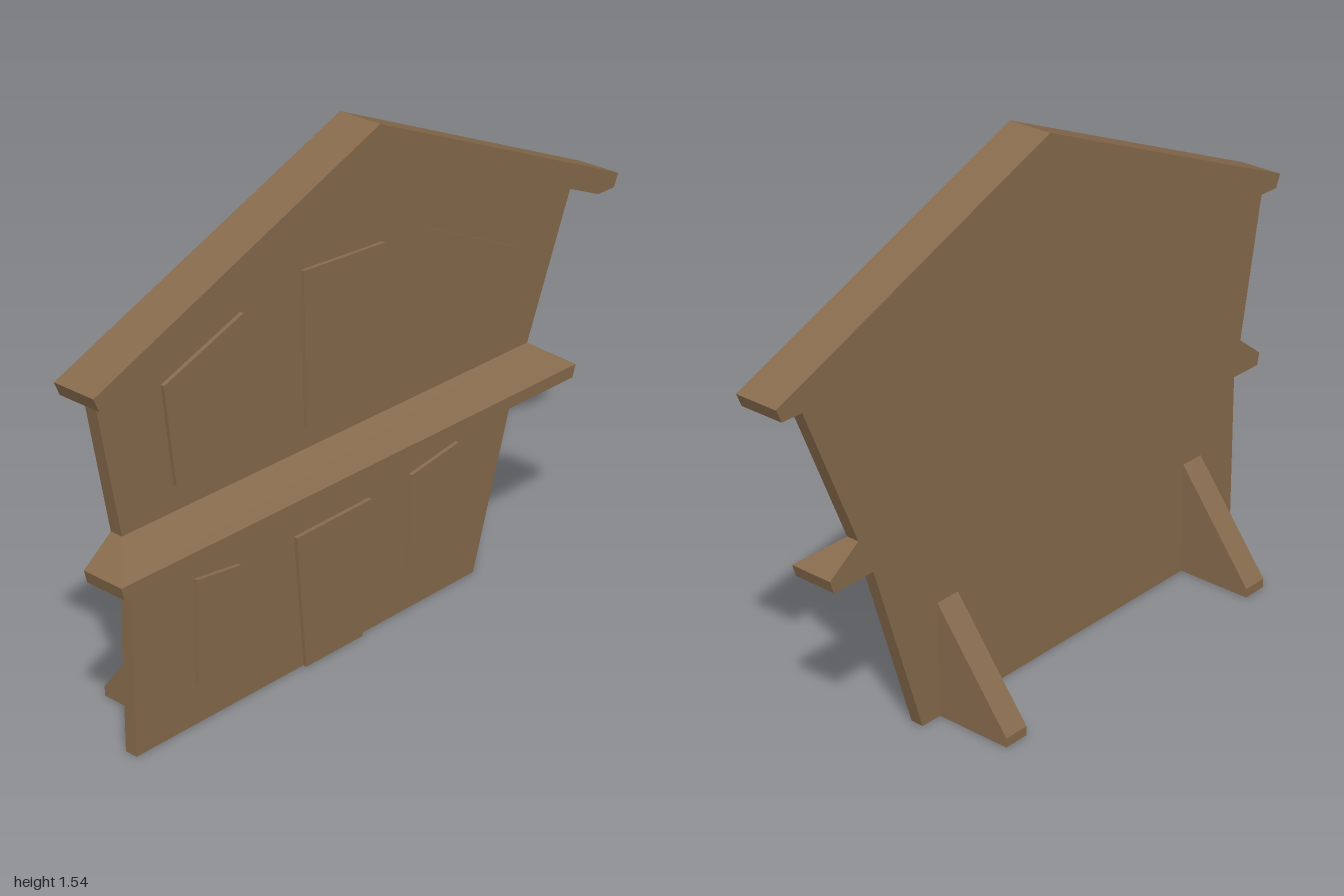
import * as THREE from 'three';

export function createModel() {
  const model = new THREE.Group();
  model.name = 'houseFacade';
  const wood = new THREE.MeshStandardMaterial({ color: 0x866a4c });
  wood.name = 'brown wood';

  function add(name, geometry) {
    const mesh = new THREE.Mesh(geometry, wood);
    mesh.name = name;
    model.add(mesh);
    return mesh;
  }

  // Upright board: outline given as [z, y], thickness from x0 to x1
  function board(name, outline, x0, x1) {
    const shape = new THREE.Shape(outline.map(([z, y]) => new THREE.Vector2(-z, y)));
    const geo = new THREE.ExtrudeGeometry(shape, { depth: x1 - x0, bevelEnabled: false });
    geo.rotateY(Math.PI / 2).translate(x0, 0, 0);
    add(name, geo);
  }

  // Crooked wall
  board('wall', [
    [0.81, 0], [0.81, 0.56], [0.835, 0.655], [0.915, 1.085], [0, 1.46],
    [-0.915, 1.085], [-0.74, 0.655], [-0.69, 0.545], [-0.525, 0],
  ], 0.05, 0.09);

  // Gabled roof trim
  board('roof', [
    [1, 1.122], [0, 1.538], [-1, 1.122], [-0.983, 1.083], [-0.912, 1.083],
    [0, 1.46], [0.912, 1.083], [0.983, 1.083],
  ], 0.05, 0.188);

  // Windows and door, slightly raised
  const panels = {
    upperWindowLeft: [[0.69, 1.02], [0.41, 1.125], [0.435, 0.73], [0.655, 0.73]],
    upperWindowMiddle: [[0.19, 1.17], [-0.12, 1.155], [-0.06, 0.715], [0.18, 0.725]],
    upperWindowRight: [[-0.3, 1.14], [-0.665, 0.975], [-0.51, 0.715], [-0.275, 0.73]],
    lowerWindowLeft: [[0.59, 0.435], [0.43, 0.415], [0.42, 0.115], [0.595, 0.12]],
    door: [[0.22, 0.41], [-0.075, 0.415], [-0.04, 0], [0.185, 0]],
    lowerWindowRight: [[-0.24, 0.425], [-0.435, 0.455], [-0.345, 0.135], [-0.23, 0.135]],
  };
  for (const [name, outline] of Object.entries(panels)) board(name, outline, 0.085, 0.102);

  // Hipped ledge between the storeys: each row is [y, front x, +z end, -z end]
  const rows = [
    [0.545, 0.185, 0.92, -0.833],
    [0.582, 0.185, 0.929, -0.845],
    [0.655, 0.09, 0.835, -0.74],
  ];
  const ledge = new THREE.BoxGeometry(1, 1, 1, 1, 2, 1).toNonIndexed();
  const p = ledge.attributes.position;
  for (let i = 0; i < p.count; i++) {
    const [y, front, zMax, zMin] = rows[Math.round((p.getY(i) + 0.5) * 2)];
    p.setXYZ(i, p.getX(i) > 0 ? front : 0.05, y, p.getZ(i) > 0 ? zMax : zMin);
  }
  ledge.computeVertexNormals();
  add('ledge', ledge);

  // Triangular rear supports
  const brace = new THREE.Shape([
    [-0.19, 0], [0.05, 0], [0.05, 0.35], [-0.19, 0.028],
  ].map(([x, y]) => new THREE.Vector2(x, y)));
  for (const z of [0.58, -0.457]) {
    const geo = new THREE.ExtrudeGeometry(brace, { depth: 0.08, bevelEnabled: false });
    add('rearSupport', geo).position.z = z;
  }

  return model;
}
